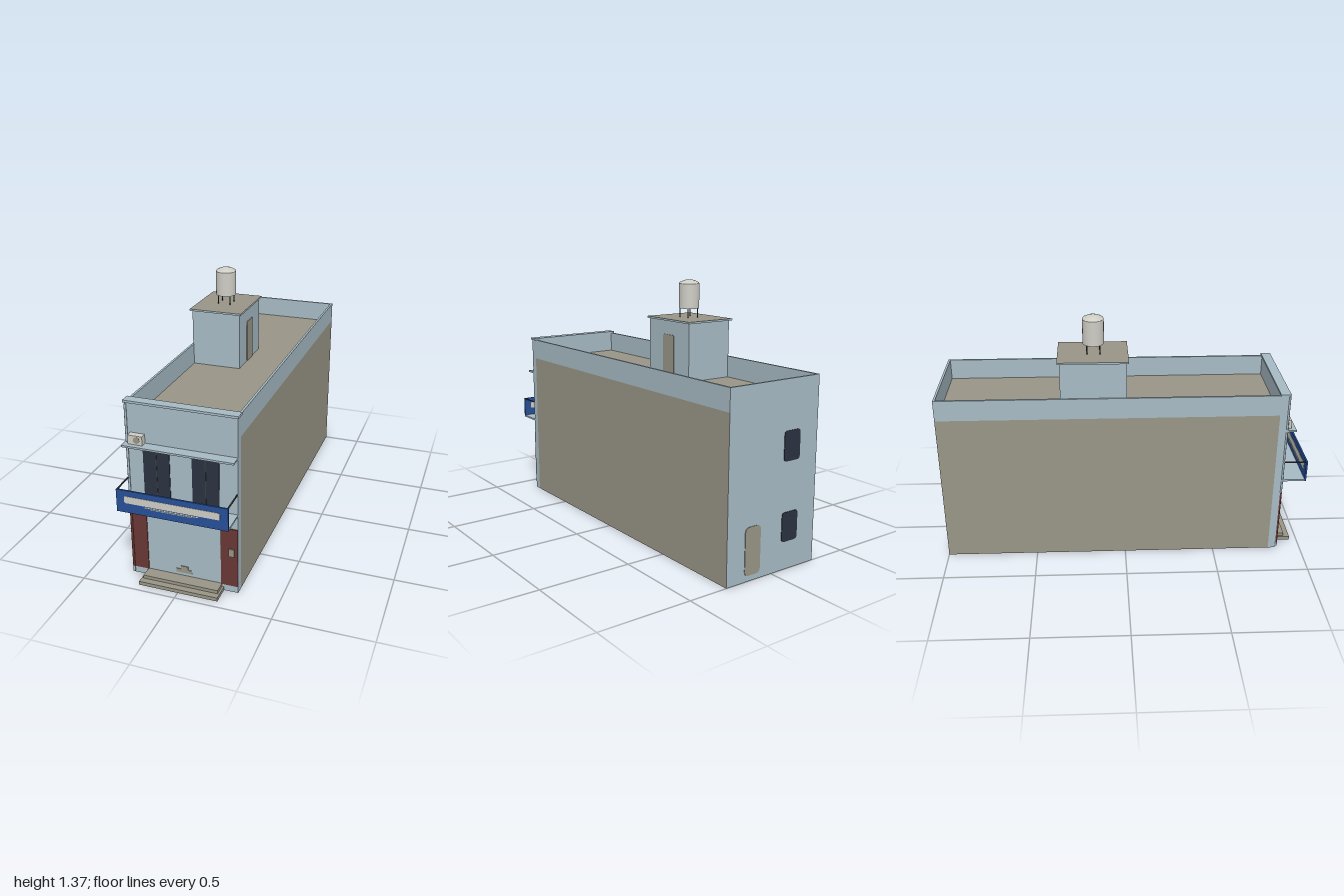
import * as THREE from 'three';

const mat = (name, color) => {
  const m = new THREE.MeshStandardMaterial({ color });
  m.name = name;
  return m;
};

export function createModel() {
  const root = new THREE.Group();
  root.name = 'shopBuilding';
  const blue = mat('paleBluePaint', 0xa6bac3);
  const stone = mat('bareRender', 0x989486);
  const navy = mat('signBlue', 0x264f96);
  const red = mat('brickRed', 0x693735);
  const dark = mat('darkGlass', 0x2b323f);
  const white = mat('offWhite', 0xcdccc4);
  const metal = mat('darkMetal', 0x3a3d42);

  const add = (name, geo, material, parent = root) => {
    const m = new THREE.Mesh(geo, material);
    m.name = name;
    parent.add(m);
    return m;
  };
  // Box given by its extents on each axis
  const box = (name, [x0, x1], [y0, y1], [z0, z1], material, parent) => {
    const m = add(name, new THREE.BoxGeometry(x1 - x0, y1 - y0, z1 - z0), material, parent);
    m.position.set((x0 + x1) / 2, (y0 + y1) / 2, (z0 + z1) / 2);
    return m;
  };
  // Thin plate with rounded corners, facing +z
  const roundedPlate = (name, w, h, r, depth, material) => {
    const s = new THREE.Shape();
    const a = w / 2, b = h / 2;
    s.moveTo(-a + r, -b);
    s.lineTo(a - r, -b);
    s.quadraticCurveTo(a, -b, a, -b + r);
    s.lineTo(a, b - r);
    s.quadraticCurveTo(a, b, a - r, b);
    s.lineTo(-a + r, b);
    s.quadraticCurveTo(-a, b, -a, b - r);
    s.lineTo(-a, -b + r);
    s.quadraticCurveTo(-a, -b, -a + r, -b);
    const geo = new THREE.ExtrudeGeometry(s, { depth, bevelEnabled: false, curveSegments: 4 });
    geo.translate(0, 0, -depth / 2);
    return add(name, geo, material);
  };

  // Main block: bare side walls and roof, painted back
  const W = 0.285, ROOF = 0.845, TOP = 0.96;
  box('mainBlock', [-W, W], [0, ROOF], [-1, 0.82], [stone, stone, stone, blue, blue, blue]);
  box('frontWall', [-W, W], [0, TOP], [0.82, 0.86], blue);
  box('frontCoping', [-0.291, 0.291], [0.957, 0.969], [0.815, 0.869], blue);
  for (const s of [-1, 1]) {
    const xs = s < 0 ? [-W, -W + 0.012] : [W - 0.012, W];
    box('sideParapet', xs, [ROOF, TOP], [-1, 0.82], blue);
  }
  box('backParapet', [-W + 0.012, W - 0.012], [ROOF, TOP], [-1, -0.988], blue);

  // Stair room on the roof
  box('stairRoom', [-0.277, -0.003], [ROOF, 1.155], [-0.34, 0.008], blue);
  box('stairRoomSlab', [-0.29, 0.007], [1.155, 1.165], [-0.352, 0.018], [blue, blue, stone, blue, blue, blue]);
  const roofDoor = roundedPlate('roofDoor', 0.095, 0.235, 0.012, 0.006, stone);
  roofDoor.rotation.y = Math.PI / 2;
  roofDoor.position.set(-0.002, 0.963, -0.165);

  // Water tank on four legs
  const tank = new THREE.Group();
  tank.name = 'waterTank';
  tank.position.set(-0.141, 1.165, -0.163);
  root.add(tank);
  const profile = [[0, 0.05], [0.056, 0.05], [0.056, 0.05], [0.056, 0.184], [0.056, 0.184],
    [0.052, 0.19], [0.03, 0.2], [0.014, 0.204], [0, 0.205]];
  add('tankBody', new THREE.LatheGeometry(profile.map(p => new THREE.Vector2(...p)), 24), white, tank);
  for (const sx of [-1, 1]) for (const sz of [-1, 1]) {
    const leg = add('tankLeg', new THREE.CylinderGeometry(0.003, 0.003, 0.052, 8), metal, tank);
    leg.position.set(sx * 0.034, 0.026, sz * 0.034);
  }

  // Sunshade ledge and cooling unit
  box('sunshade', [-W, W], [0.745, 0.755], [0.86, 0.918], blue);
  box('coolingUnit', [-0.261, -0.186], [0.755, 0.802], [0.86, 0.893], white);
  const fan = add('coolingFan', new THREE.CylinderGeometry(0.017, 0.017, 0.003, 16), stone);
  fan.rotation.x = Math.PI / 2;
  fan.position.set(-0.216, 0.779, 0.893);

  // Balcony doors, each with two leaves
  for (const x of [-0.13, 0.123]) {
    box('balconyDoor', [x - 0.069, x + 0.069], [0.45, 0.719], [0.858, 0.864], dark);
    box('doorMullion', [x - 0.002, x + 0.002], [0.45, 0.719], [0.863, 0.866], metal);
  }

  // Balcony floor, rails and sign board
  box('balconyFloor', [-W, W], [0.44, 0.45], [0.86, 0.99], blue);
  box('signBoard', [-W, W], [0.44, 0.56], [0.989, 0.998], navy);
  for (const s of [-1, 1]) {
    box('balconyRail', [s * 0.281 - 0.003, s * 0.281 + 0.003], [0.555, 0.561], [0.86, 0.99], metal);
  }
  for (const z of [0.9985, 0.9885]) {
    roundedPlate('signMainStripe', 0.488, 0.037, 0.01, 0.002, white).position.set(0, 0.511, z);
    box('signLowerStripe', [-0.138, 0.138], [0.484, 0.489], [z - 0.001, z + 0.001], white);
    box('signThinStripe', [-0.11, 0.11], [0.478, 0.481], [z - 0.001, z + 0.001], white);
  }

  // Ground floor: red piers, shutter, meter box and steps
  for (const s of [-1, 1]) {
    const xs = s < 0 ? [-W, -0.196] : [0.196, W];
    box('redPier', xs, [0.038, 0.365], [0.858, 0.865], red);
  }
  box('shutterHead', [-0.196, 0.196], [0.363, 0.368], [0.858, 0.865], blue);
  box('meterBox', [0.239, 0.268], [0.212, 0.254], [0.865, 0.872], stone);
  box('shutterHandle', [-0.045, 0.04], [0.055, 0.075], [0.858, 0.863], stone);
  box('shutterLock', [-0.02, 0.02], [0.075, 0.094], [0.858, 0.863], stone);
  box('lowerStep', [-0.21, 0.21], [0, 0.02], [0.86, 0.958], stone);
  box('upperStep', [-0.2, 0.2], [0.02, 0.038], [0.86, 0.925], stone);

  // Drainpipe down the front corner
  for (const [y0, y1, m] of [[0.01, 0.038, blue], [0.038, 0.36, red], [0.36, 0.95, blue]]) {
    const pipe = add('drainpipe', new THREE.CylinderGeometry(0.006, 0.006, y1 - y0, 10), m);
    pipe.position.set(-0.279, (y0 + y1) / 2, 0.866);
  }

  // Rear door and windows
  roundedPlate('rearDoor', 0.098, 0.245, 0.025, 0.006, stone).position.set(0.125, 0.152, -1);
  for (const y of [0.222, 0.632]) {
    roundedPlate('rearWindow', 0.104, 0.152, 0.018, 0.006, dark).position.set(-0.115, y, -1);
  }
  return root;
}
